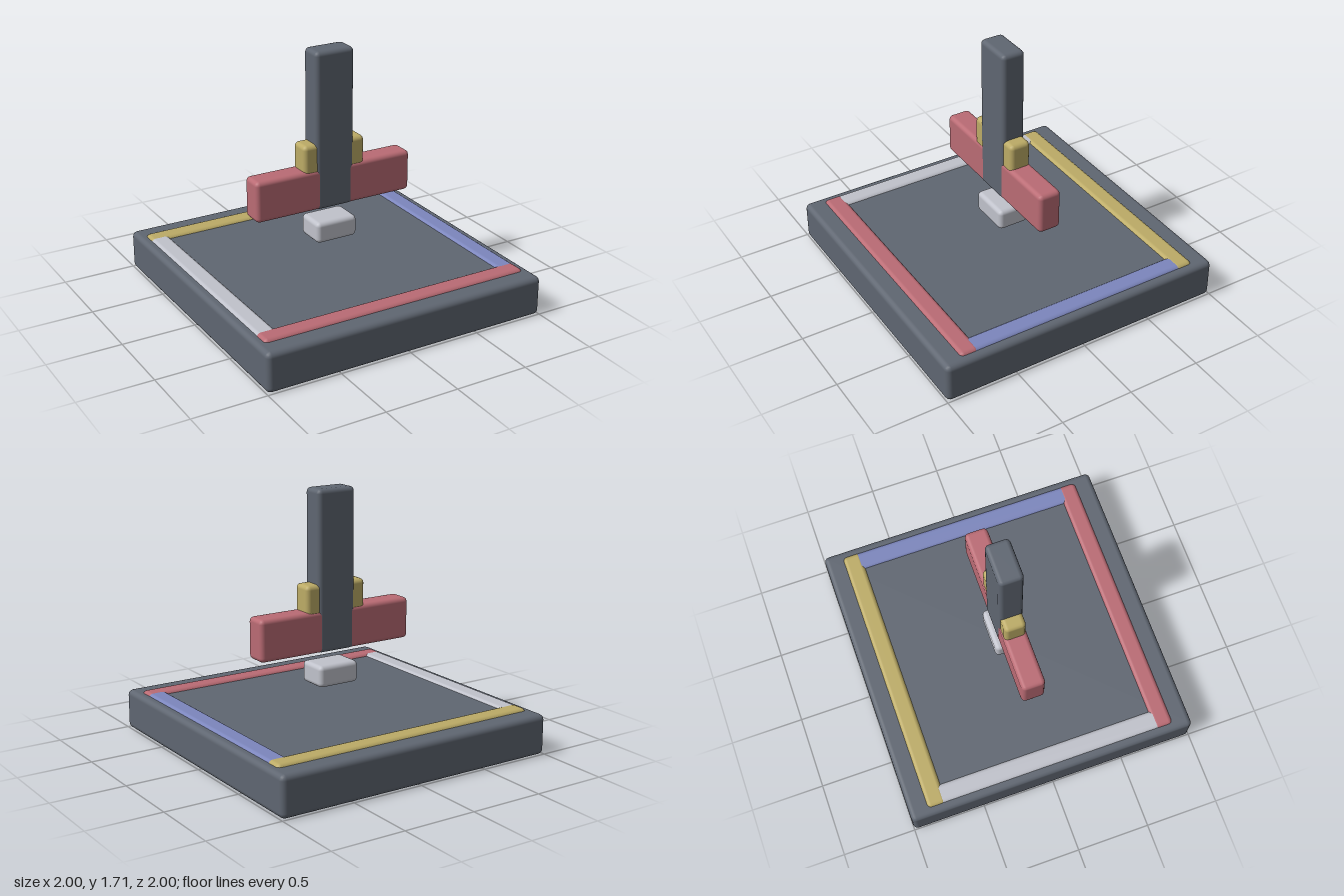
import * as THREE from 'three';
import { RoundedBoxGeometry } from 'three/addons/geometries/RoundedBoxGeometry.js';

const material = (name, color) => {
  const m = new THREE.MeshStandardMaterial({ color });
  m.name = name;
  return m;
};

export function createModel() {
  const model = new THREE.Group();
  model.name = 'floatingEmblemOnTray';

  const slate = material('slate', 0x5f6671);
  const red = material('dustyRed', 0xba6b74);
  const yellow = material('mustard', 0xbcab66);
  const blue = material('periwinkle', 0x7c86bd);
  const white = material('paleGrey', 0xc0c2cb);

  // Soft-edged block given by its size, centre and edge radius
  const block = (name, mat, [w, h, d], [x, y, z], radius = 0.03) => {
    const mesh = new THREE.Mesh(new RoundedBoxGeometry(w, h, d, 2, radius), mat);
    mesh.name = name;
    mesh.position.set(x, y, z);
    model.add(mesh);
  };

  // Square base slab
  block('base', slate, [2, 0.27, 2], [0, 0.135, 0], 0.035);

  // Four coloured border rails sunk into the slab; front and back lie on top at the corners
  block('frontRail', red, [1.9, 0.07, 0.132], [0, 0.252, 0.809]);
  block('backRail', yellow, [1.9, 0.07, 0.132], [0, 0.252, -0.809]);
  block('rightRail', white, [0.132, 0.07, 1.74], [-0.884, 0.25, 0]);
  block('leftRail', blue, [0.132, 0.07, 1.74], [0.884, 0.25, 0]);

  // Floating pieces: small foot block, crossbar, shoulders and tall post
  block('footBlock', white, [0.3, 0.145, 0.22], [0, 0.483, 0]);
  block('crossbar', red, [1.15, 0.28, 0.16], [0, 0.78, 0]);
  for (const side of [-1, 1]) {
    block(side > 0 ? 'leftShoulder' : 'rightShoulder', yellow,
      [0.14, 0.26, 0.146], [side * 0.155, 0.963, 0]);
  }
  block('post', slate, [0.28, 1.07, 0.163], [0, 1.173, 0]);

  return model;
}
